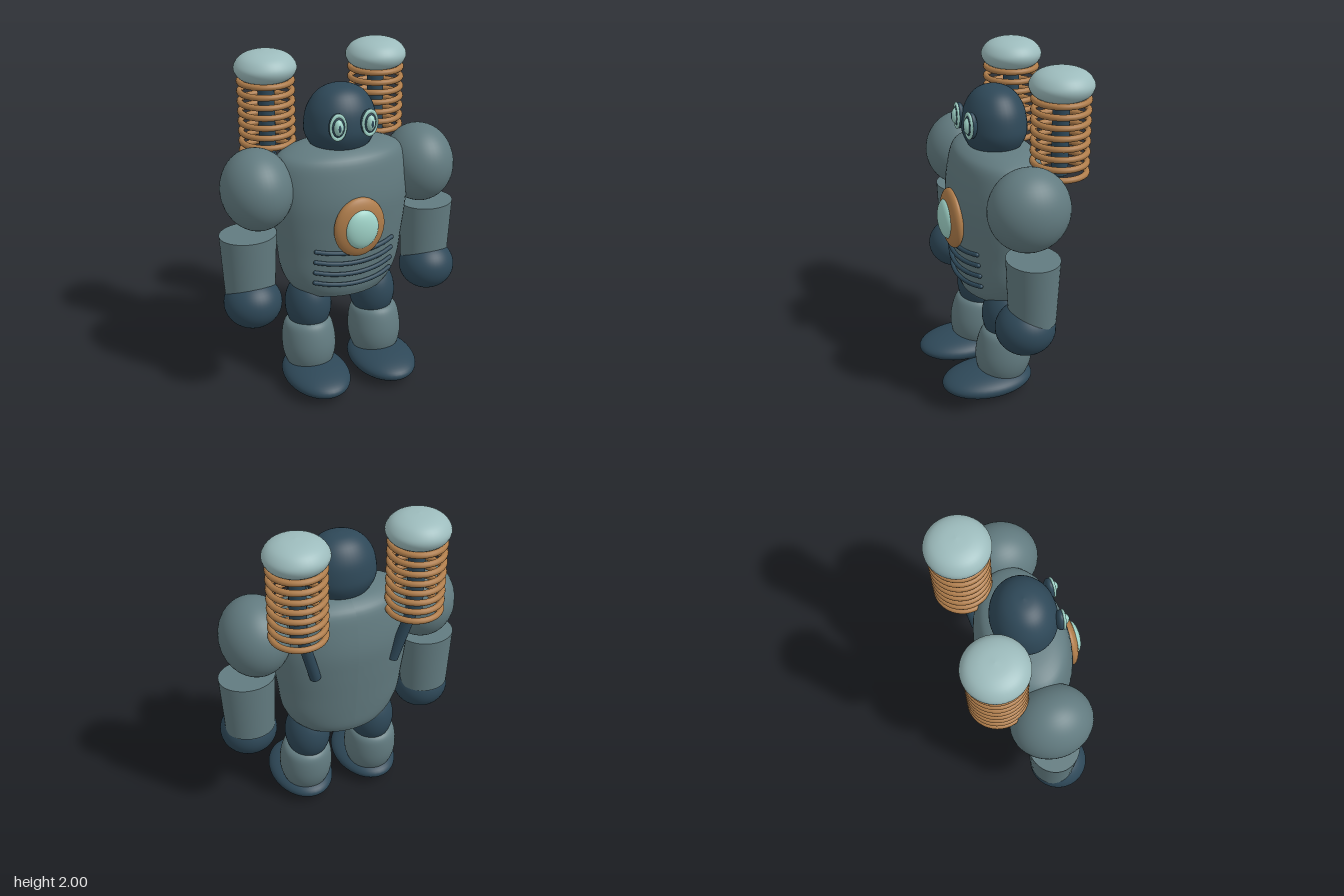
import * as THREE from 'three';

const mat = (name, color) => Object.assign(new THREE.MeshStandardMaterial({ color }), { name });

export function createModel() {
  const body = mat('slate plating', 0x627b80);
  const dark = mat('dark blue steel', 0x2e4858);
  const pale = mat('pale cap', 0x9dbcbd);
  const copper = mat('copper', 0xae7c4a);
  const glow = mat('mint glass', 0xa0d4c9);
  const root = new THREE.Group();
  root.name = 'robot';

  const add = (name, geo, material, pos = [0, 0, 0], parent = root) => {
    const m = new THREE.Mesh(geo, material);
    m.name = name;
    m.position.set(...pos);
    parent.add(m);
    return m;
  };
  const ellipsoid = (name, material, pos, r, parent) =>
    add(name, new THREE.SphereGeometry(1, 40, 28).scale(...r), material, pos, parent);
  const lathe = (pts, n = 30) =>
    new THREE.LatheGeometry(new THREE.SplineCurve(pts.map(p => new THREE.Vector2(...p))).getPoints(n)
      .map(p => p.setX(Math.max(0, p.x))), 40);
  const rod = (name, a, b, r, parent) => {
    const A = new THREE.Vector3(...a), B = new THREE.Vector3(...b);
    const m = add(name, new THREE.CylinderGeometry(r, r, A.distanceTo(B), 20), dark,
      A.clone().lerp(B, 0.5).toArray(), parent);
    m.quaternion.setFromUnitVectors(new THREE.Vector3(0, 1, 0), A.sub(B).normalize());
  };

  // torso: oval sections given as half width, height, half depth
  const rows = new THREE.CatmullRomCurve3([
    [0.28, 0.6, 0.2], [0.325, 0.65, 0.218], [0.37, 0.75, 0.232], [0.39, 0.9, 0.248], [0.41, 1.05, 0.262],
    [0.42, 1.2, 0.27], [0.41, 1.34, 0.252], [0.375, 1.44, 0.225], [0.3, 1.482, 0.18],
    [0.18, 1.505, 0.11], [0, 1.51, 0],
  ].map(p => new THREE.Vector3(...p))).getPoints(44);
  const sections = [new THREE.Vector3(0, 0.6, 0), rows[0].clone(), ...rows];
  const torso = new THREE.LatheGeometry(sections.map(p => new THREE.Vector2(p.x, p.y)), 48, Math.PI);
  const tp = torso.attributes.position;
  for (let i = 0; i < tp.count; i++) {
    const s = sections[i % sections.length];
    tp.setZ(i, s.x > 0 ? tp.getZ(i) * s.z / s.x : 0);
  }
  torso.computeVertexNormals();
  add('torso', torso, body);

  // chest lamp
  ellipsoid('chestLampRing', copper, [0, 1.07, 0.27], [0.156, 0.18, 0.052]);
  ellipsoid('chestLampGlass', glow, [0, 1.07, 0.3], [0.102, 0.12, 0.048]);

  // sagging vent bars wrapped around the belly
  for (let i = 0; i < 4; i++) {
    const y = 0.93 - i * 0.07, rz = 0.253 - i * 0.006, rx = 0.395 - i * 0.01;
    const pts = [];
    for (let k = 0; k <= 8; k++) {
      const x = -0.24 + k * 0.06;
      pts.push(new THREE.Vector3(x, y - 0.022 * (1 - (x / 0.24) ** 2), rz * Math.sqrt(1 - (x / rx) ** 2) + 0.006));
    }
    add('ventBar', new THREE.TubeGeometry(new THREE.CatmullRomCurve3(pts), 32, 0.013, 10), dark);
    for (const p of [pts[0], pts[8]]) ellipsoid('ventBarEnd', dark, p.toArray(), [0.013, 0.013, 0.013]);
  }

  // head
  const head = add('head', lathe([[0.14, 1.46], [0.175, 1.5], [0.206, 1.56], [0.211, 1.62], [0.192, 1.71],
    [0.142, 1.785], [0.075, 1.825], [0, 1.836]]), dark, [0, 0, 0.005]);
  head.scale.z = 0.865;

  for (const s of [1, -1]) {
    const side = new THREE.Group();
    side.name = s > 0 ? 'leftSide' : 'rightSide';
    root.add(side);

    // eye: socket, rim, lens and pupil
    const eye = new THREE.Group();
    eye.name = 'eye';
    eye.position.set(s * 0.095, 1.65, 0.178);
    eye.rotation.y = s * 0.08;
    side.add(eye);
    ellipsoid('eyeSocket', dark, [0, 0, 0], [0.05, 0.076, 0.03], eye);
    add('eyeRim', new THREE.TorusGeometry(0.043, 0.008, 10, 36).scale(1, 1.55, 1), glow, [0, 0, 0.016], eye);
    ellipsoid('eyeLens', glow, [0, 0, 0.015], [0.029, 0.048, 0.032], eye);
    ellipsoid('pupil', dark, [0, 0, 0.036], [0.012, 0.026, 0.013], eye);

    // arm
    ellipsoid('shoulder', body, [s * 0.512, 1.29, 0.01], [0.203, 0.235, 0.232], side);
    const forearm = add('forearm', new THREE.CylinderGeometry(0.166, 0.148, 0.37, 40), body, [s * 0.575, 0.845, 0.01], side);
    forearm.scale.z = 0.89;
    ellipsoid('hand', dark, [s * 0.575, 0.61, 0.05], [0.17, 0.152, 0.17], side);

    // leg
    ellipsoid('thigh', dark, [s * 0.213, 0.5, 0.01], [0.139, 0.19, 0.149], side);
    const shin = add('shin', lathe([[0.12, -0.16], [0.152, -0.08], [0.163, 0], [0.155, 0.09], [0.135, 0.145],
      [0.09, 0.165], [0, 0.168]]), body, [s * 0.222, 0.245, 0.033], side);
    shin.scale.z = 1.05;
    shin.rotation.x = -0.12;
    ellipsoid('foot', dark, [s * 0.222, 0.08, 0.14], [0.194, 0.079, 0.28], side);

    // coil tower on the back
    const coil = new THREE.Group();
    coil.name = 'coilTower';
    coil.position.set(s * 0.345, 0, -0.243);
    side.add(coil);
    rod('coilPost', [0, 1.86, 0], [0, 1.4, 0], 0.048, coil);
    rod('coilBrace', [0, 1.45, -0.012], [-s * 0.105, 1.07, 0.033], 0.033, coil);
    for (let i = 0; i < 8; i++)
      add('coilRing', new THREE.TorusGeometry(0.149, 0.0175, 12, 40).rotateX(Math.PI / 2), copper, [0, 1.828 - i * 0.0588, 0], coil);
    add('coilCap', lathe([[0, 1.828], [0.1, 1.832], [0.15, 1.85], [0.176, 1.888], [0.174, 1.925],
      [0.14, 1.967], [0.08, 1.992], [0, 2]]), pale, [0, 0, 0], coil);
  }
  return root;
}
